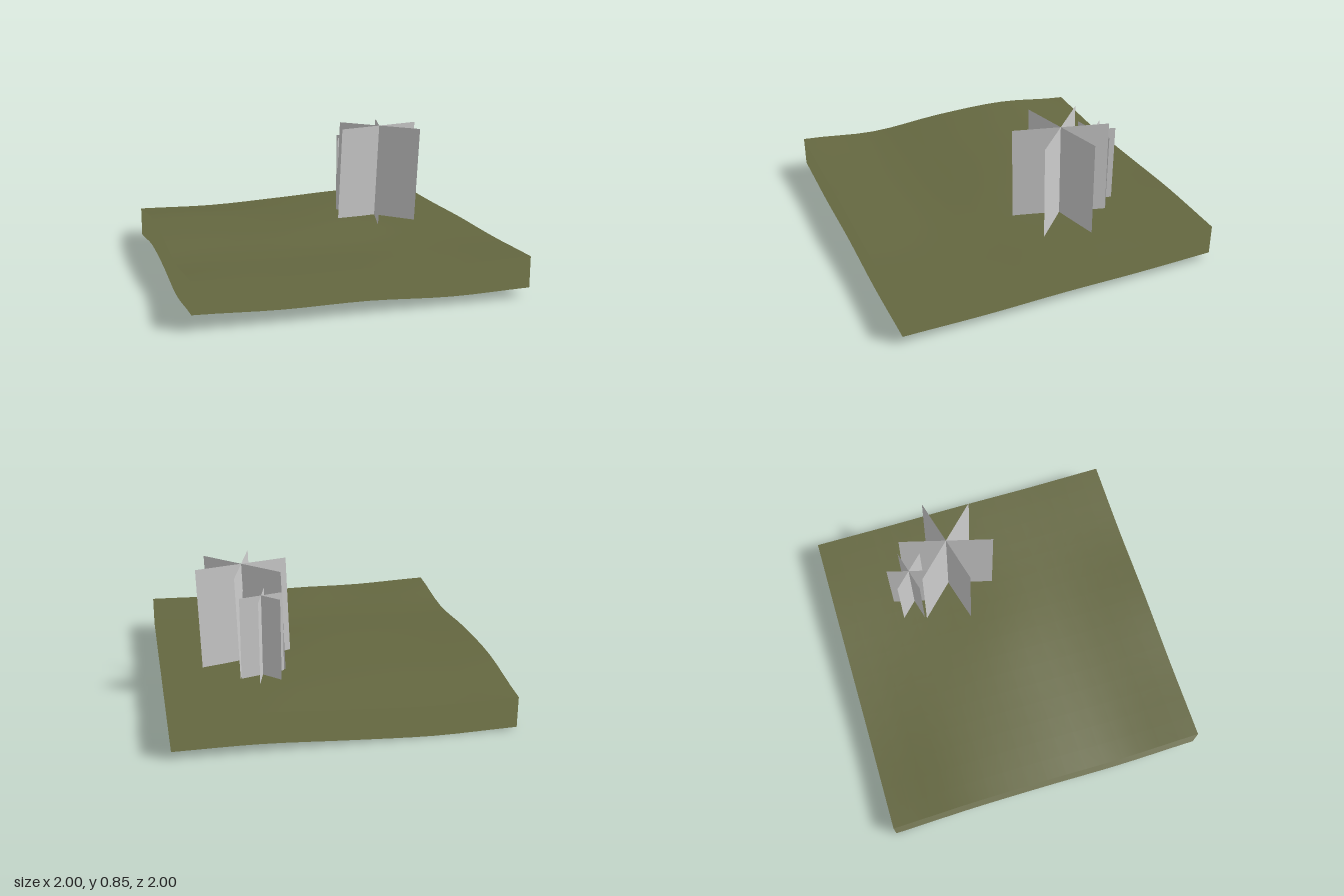
import * as THREE from 'three';

const grass = new THREE.MeshStandardMaterial({ name: 'olive ground', color: 0x646740, side: THREE.DoubleSide });
const grey = new THREE.MeshStandardMaterial({ name: 'light grey', color: 0xcccccc, side: THREE.DoubleSide });

// Ground heights on a 5 x 5 grid: rows run from back to front, columns along x
const HEIGHTS = [
  [0.20, 0.19, 0.21, 0.235, 0.235],
  [0.265, 0.25, 0.24, 0.235, 0.233],
  [0.265, 0.262, 0.262, 0.238, 0.24],
  [0.235, 0.235, 0.232, 0.23, 0.237],
  [0.285, 0.265, 0.265, 0.24, 0.247],
];
const SKIRT = 0.19;
const SEGMENTS = 16;

// Smooth curve through five evenly spaced values from -1 to 1
function spline(values, at) {
  const t = (at + 1) * 2;
  const i = Math.min(3, Math.floor(t));
  const f = t - i;
  const v = (k) => values[Math.max(0, Math.min(4, k))];
  const a = v(i - 1), b = v(i), c = v(i + 1), d = v(i + 2);
  return b + 0.5 * f * (c - a + f * (2 * a - 5 * b + 4 * c - d + f * (3 * (b - c) + d - a)));
}

const heightAt = (x, z) => spline(HEIGHTS.map((row) => spline(row, x)), z);

function named(name, geometry, material) {
  const mesh = new THREE.Mesh(geometry, material);
  mesh.name = name;
  return mesh;
}

// Rolling ground sheet
function groundSheet() {
  const geometry = new THREE.PlaneGeometry(2, 2, SEGMENTS, SEGMENTS).rotateX(-Math.PI / 2);
  const p = geometry.attributes.position;
  for (let i = 0; i < p.count; i++) p.setY(i, heightAt(p.getX(i), p.getZ(i)));
  geometry.computeVertexNormals();
  return geometry;
}

// Skirt hanging from the rim, open below, shaded like the ground
function groundSkirt() {
  const corners = [[-1, 1], [1, 1], [1, -1], [-1, -1]];
  const positions = [], normals = [], index = [];
  corners.forEach(([x0, z0], side) => {
    const [x1, z1] = corners[(side + 1) % 4];
    for (let i = 0; i <= SEGMENTS; i++) {
      const x = x0 + (x1 - x0) * i / SEGMENTS;
      const z = z0 + (z1 - z0) * i / SEGMENTS;
      const y = heightAt(x, z);
      const n = positions.length / 3;
      positions.push(x, y, z, x, y - SKIRT, z);
      normals.push(0, 1, 0, 0, 1, 0);
      if (i < SEGMENTS) index.push(n, n + 1, n + 3, n, n + 3, n + 2);
    }
  });
  const geometry = new THREE.BufferGeometry();
  geometry.setAttribute('position', new THREE.Float32BufferAttribute(positions, 3));
  geometry.setAttribute('normal', new THREE.Float32BufferAttribute(normals, 3));
  geometry.setIndex(index);
  return geometry;
}

// Three upright panels crossing at 60 degrees; lean shifts the top in x and z
function crossedPanels(name, x, z, width, bottom, top, lean) {
  const group = new THREE.Group();
  group.name = name;
  const height = top - bottom;
  for (const degrees of [15, -45, -105]) {
    const geometry = new THREE.PlaneGeometry(width, height)
      .translate(0, height / 2, 0)
      .rotateY(THREE.MathUtils.degToRad(degrees));
    const p = geometry.attributes.position;
    for (let i = 0; i < p.count; i++) {
      const shift = lean * p.getY(i) / height;
      p.setX(i, p.getX(i) + shift);
      p.setZ(i, p.getZ(i) + shift);
    }
    geometry.computeVertexNormals();
    group.add(named('panel', geometry, grey));
  }
  group.position.set(x, bottom, z);
  return group;
}

export function createModel() {
  const model = new THREE.Group();
  model.name = 'groundTile';
  model.add(
    named('ground', groundSheet(), grass),
    named('groundSkirt', groundSkirt(), grass),
    crossedPanels('tallCrossedPanels', 0.475, -0.225, 0.585, 0.225, 0.85, 0.021),
    crossedPanels('smallCrossedPanels', 0.413, -0.477, 0.275, 0.225, 0.735, 0.003),
  );
  return model;
}
